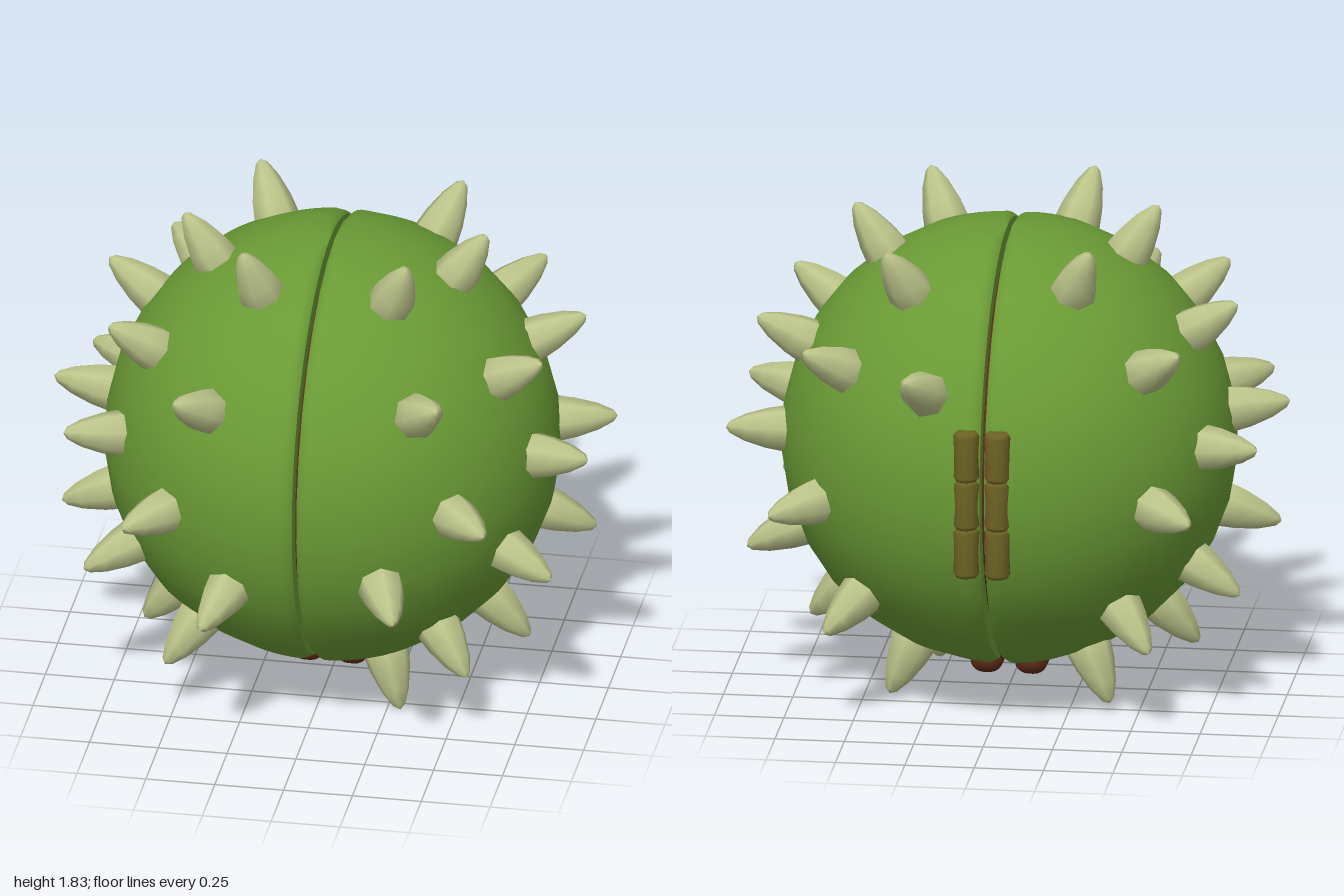
import * as THREE from 'three';
import { RoundedBoxGeometry } from 'three/addons/geometries/RoundedBoxGeometry.js';

const R = 0.81, INNER = 0.72, CENTRE = 0.88, GAP = 0.008, HOLE = 0.28;
const paint = (color) => new THREE.MeshStandardMaterial({ color });
const green = paint(0x6a9a35), pale = paint(0xbcc48a), brown = paint(0x5c2a18), olive = paint(0x6e6224);

function add(parent, name, geometry, material, x = 0, y = 0, z = 0) {
  const mesh = new THREE.Mesh(geometry, material);
  mesh.name = name;
  mesh.position.set(x, y, z);
  parent.add(mesh);
  return mesh;
}

// Half of a hollow ball, open at the bottom, with a softened seam edge
function halfShellGeometry() {
  const points = [], n = 14;
  const arc = (r, t) => points.push(new THREE.Vector2(r * Math.sin(t), r * Math.cos(t)));
  for (let i = 0; i <= n; i++) arc(INNER, (i / n) * (Math.PI - HOLE));
  arc(R - 0.015, Math.PI - HOLE);
  for (let i = n; i >= 0; i--) arc(R, (i / n) * (Math.PI - HOLE - 0.02));
  const geo = new THREE.LatheGeometry(points, 40, 0, Math.PI);
  const pos = geo.attributes.position, v = new THREE.Vector3();
  for (let i = 0; i < pos.count; i++) {
    v.fromBufferAttribute(pos, i);
    const r = Math.hypot(v.x, v.z);
    // crowd the slices towards the seam, then round the outer edge there
    const phi = Math.PI * (1 - Math.cos(Math.atan2(v.x, v.z))) / 2;
    v.set(r * Math.sin(phi), v.y, r * Math.cos(phi));
    if (v.length() > R - 0.01) v.multiplyScalar(1 - 0.025 * Math.max(0, 1 - v.x / 0.04) ** 2);
    pos.setXYZ(i, v.x + GAP, v.y, v.z);
  }
  geo.computeVertexNormals();
  return geo;
}

// Spike directions from the centre of the ball, for each half
const leftSpikes = [
  [.42, .41, .6], [.28, .74, .32], [.68, .43, .27], [.57, .02, .63], [.82, .1, .23],
  [.32, -.24, .76], [.73, -.24, .37], [.48, -.56, .42], [.25, -.78, .25], [.46, .7, .01],
  [.33, .69, -.4], [.72, .38, -.14], [.82, .05, -.17], [.74, -.31, -.16], [.63, -.11, -.5],
  [.58, -.57, .05], [.48, -.47, -.48], [.55, .39, -.5], [.22, .38, -.72], [.33, -.74, -.18],
];
const rightSpikes = [
  [-.35, .38, .64], [-.21, .73, .33], [-.6, .46, .33], [-.5, -.03, .65], [-.7, .12, .36],
  [-.26, -.3, .72], [-.66, -.31, .37], [-.42, -.58, .4], [-.42, .69, .05], [-.28, .68, -.37],
  [-.66, .45, -.1], [-.8, .13, .03], [-.74, .08, -.3], [-.76, -.24, .07], [-.68, -.38, -.2],
  [-.53, -.6, .05], [-.46, -.49, -.46], [-.54, .4, -.45], [-.58, -.07, -.55], [-.31, -.7, -.22],
];

export function createModel() {
  const model = new THREE.Group();
  model.name = 'spikyHusk';

  // Two shell halves meeting along the seam
  const shellGeo = halfShellGeometry();
  const seamGeo = new THREE.RingGeometry(INNER, R * 0.975, 56, 1, -Math.PI / 2 + HOLE, 2 * (Math.PI - HOLE));
  seamGeo.rotateY(-Math.PI / 2);
  for (const [name, turn] of [['leftHusk', 0], ['rightHusk', Math.PI]]) {
    const half = new THREE.Group();
    half.name = name;
    half.position.y = CENTRE;
    half.rotation.y = turn;
    add(half, name + 'Shell', shellGeo, green);
    add(half, name + 'SeamFace', seamGeo, green, GAP);
    model.add(half);
  }

  // Blunt spikes pointing away from the centre
  const spikeGeo = new THREE.LatheGeometry(
    [[.078, .74], [.084, .81], [.074, .87], [.05, .95], [.022, 1.005], [0, 1.02]]
      .map(([r, y]) => new THREE.Vector2(r, y)), 7);
  const up = new THREE.Vector3(0, 1, 0);
  for (const [name, list] of [['leftSpikes', leftSpikes], ['rightSpikes', rightSpikes]]) {
    const spikes = new THREE.Group();
    spikes.name = name;
    spikes.position.y = CENTRE;
    for (const d of list) {
      const spike = add(spikes, 'spike', spikeGeo, pale);
      spike.quaternion.setFromUnitVectors(up, new THREE.Vector3(...d).normalize());
    }
    model.add(spikes);
  }

  // Nut inside the husk
  add(model, 'nut', new THREE.SphereGeometry(0.65, 32, 20), brown, 0, 0.93, -0.02);

  // Feet below the opening and hinge rods at the back, one per side
  const footGeo = new RoundedBoxGeometry(0.12, 0.36, 0.17, 3, 0.05);
  const knuckleGeo = new THREE.LatheGeometry(
    [[0, -.09], [.038, -.09], [.047, -.075], [.043, 0], [.047, .075], [.038, .09], [0, .09]]
      .map(([r, y]) => new THREE.Vector2(r, y)), 12);
  for (const side of [1, -1]) {
    add(model, side > 0 ? 'leftFoot' : 'rightFoot', footGeo, brown, side * 0.08, 0.18, 0.02);
    const hinge = new THREE.Group();
    hinge.name = side > 0 ? 'leftHinge' : 'rightHinge';
    for (let i = 0; i < 3; i++) add(hinge, 'hingeKnuckle', knuckleGeo, olive, side * 0.056, 0.69 + i * 0.18, -0.785);
    model.add(hinge);
  }
  return model;
}
